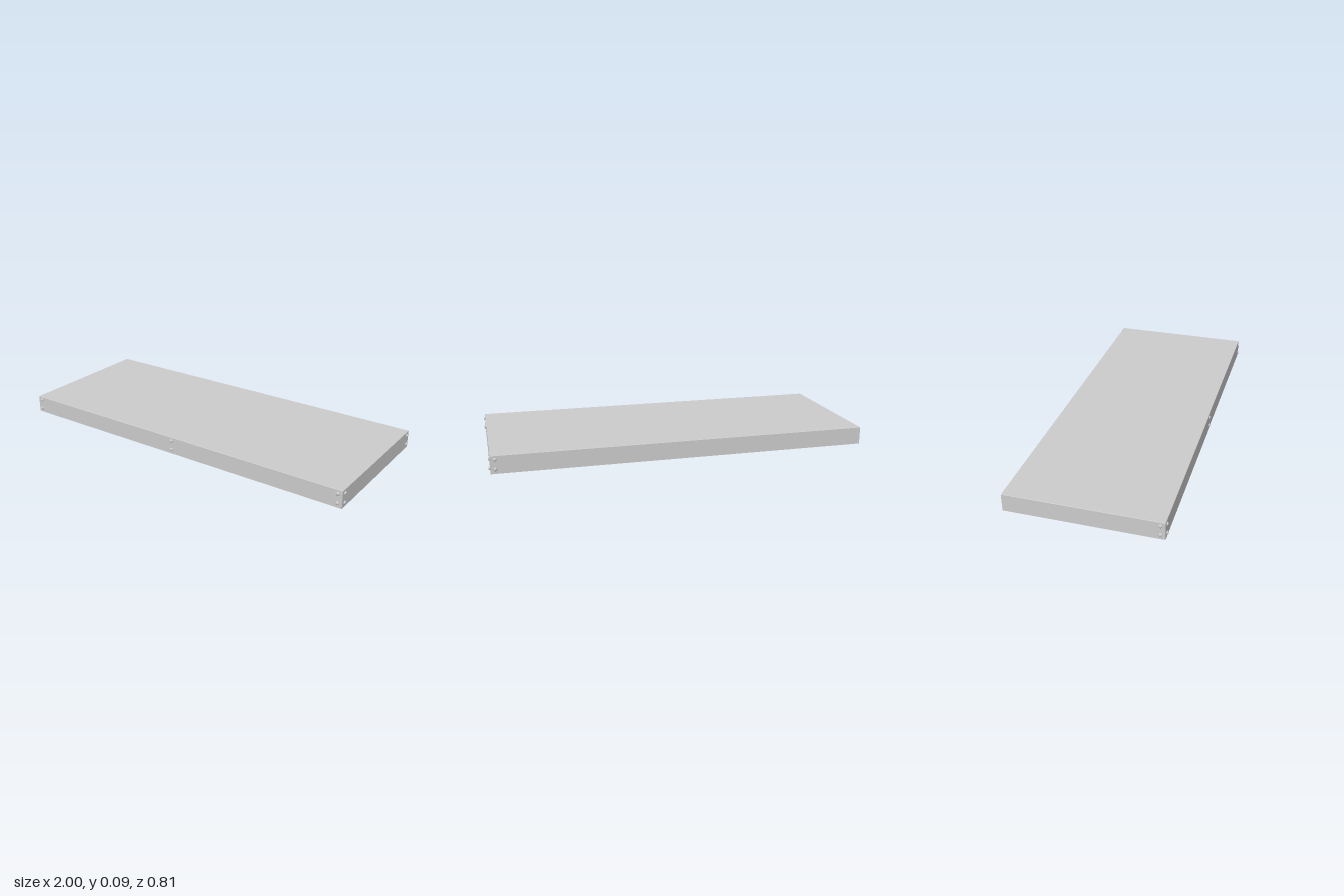
import * as THREE from 'three';

const W = 1.984, D = 0.794, H = 0.094; // overall board size without screws
const T = 0.018;                       // board thickness
const material = new THREE.MeshStandardMaterial({ color: 0xcccccc });

function addBoard(group, name, w, h, d, x, y, z) {
  const mesh = new THREE.Mesh(new THREE.BoxGeometry(w, h, d), material);
  mesh.name = name;
  mesh.position.set(x, y, z);
  group.add(mesh);
}

// Top panel: a box whose upper rim is eased by a tiny chamfer
function topPanelGeometry(ease) {
  const geo = new THREE.BoxGeometry(W, T, D, 1, 2, 1);
  const p = geo.attributes.position;
  for (let i = 0; i < p.count; i++) {
    const y = p.getY(i);
    if (Math.abs(y) < 1e-6) p.setY(i, T / 2 - ease);
    else if (y > 0) {
      p.setX(i, p.getX(i) - Math.sign(p.getX(i)) * ease);
      p.setZ(i, p.getZ(i) - Math.sign(p.getZ(i)) * ease);
    }
  }
  const flat = geo.toNonIndexed();
  flat.computeVertexNormals();
  return flat;
}

// Domed screw head, pointing along +z
function screwGeometry() {
  const profile = [[0.0095, -0.002], [0.0095, 0.002], [0.0088, 0.0045], [0.0068, 0.0066], [0.0036, 0.0077], [0, 0.008]];
  const geo = new THREE.LatheGeometry(profile.map(([r, y]) => new THREE.Vector2(r, y)), 24);
  return geo.rotateX(Math.PI / 2);
}

export function createModel() {
  const model = new THREE.Group();
  model.name = 'shelf';

  const top = new THREE.Mesh(topPanelGeometry(0.002), material);
  top.name = 'topPanel';
  top.position.y = H - T / 2;
  model.add(top);

  // Frame under the panel, open at the bottom, with a centre divider
  const h = H - T, inner = D - 2 * T;
  addBoard(model, 'frontRail', W, h, T, 0, h / 2, D / 2 - T / 2);
  addBoard(model, 'backRail', W, h, T, 0, h / 2, -D / 2 + T / 2);
  addBoard(model, 'leftRail', T, h, inner, W / 2 - T / 2, h / 2, 0);
  addBoard(model, 'rightRail', T, h, inner, -W / 2 + T / 2, h / 2, 0);
  addBoard(model, 'centreDivider', T, h, inner, 0, h / 2, 0);

  // Screw pairs: x, z and turn about y
  const sx = 0.968, sz = 0.373, q = Math.PI / 2;
  const pairs = [
    [-sx, D / 2, 0], [0, D / 2, 0], [sx, D / 2, 0], // front
    [sx, -D / 2, Math.PI],                          // back
    [W / 2, sz, q], [W / 2, -sz, q],                // left end
    [-W / 2, sz, -q],                               // right end
  ];
  const screwGeo = screwGeometry();
  for (const [x, z, turn] of pairs) {
    for (const y of [0.024, 0.074]) {
      const screw = new THREE.Mesh(screwGeo, material);
      screw.name = 'screwHead';
      screw.position.set(x, y, z);
      screw.rotation.y = turn;
      model.add(screw);
    }
  }
  return model;
}
